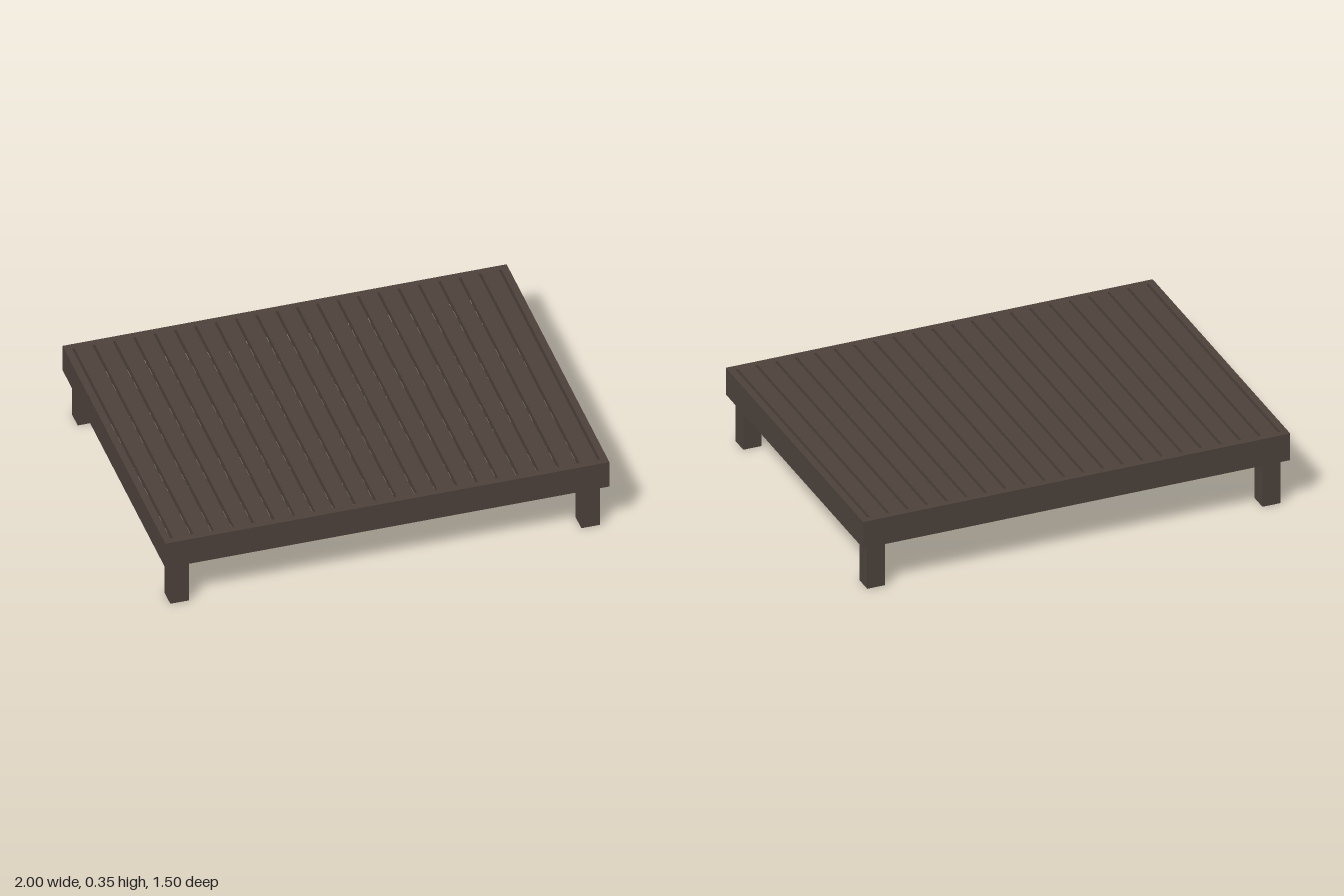
import * as THREE from 'three';

export function createModel() {
  const model = new THREE.Group();
  model.name = 'slattedPlatform';
  const wood = new THREE.MeshStandardMaterial({ color: 0x4d423b });

  // Main dimensions
  const halfX = 0.997, halfZ = 0.747, top = 0.35, rimBottom = 0.22;
  const board = 0.032, slatThickness = 0.03;
  const innerX = halfX - board, innerZ = halfZ - board;
  const slatBottom = top - slatThickness;

  // Box given by its lower and upper corners
  function box(name, x0, x1, y0, y1, z0, z1) {
    const mesh = new THREE.Mesh(new THREE.BoxGeometry(x1 - x0, y1 - y0, z1 - z0), wood);
    mesh.position.set((x0 + x1) / 2, (y0 + y1) / 2, (z0 + z1) / 2);
    mesh.name = name;
    model.add(mesh);
  }

  // Rim boards around the deck
  box('frontRim', -halfX, halfX, rimBottom, top, innerZ, halfZ);
  box('backRim', -halfX, halfX, rimBottom, top, -halfZ, -innerZ);
  box('leftRim', innerX, halfX, rimBottom, top, -innerZ, innerZ);
  box('rightRim', -halfX, -innerX, rimBottom, top, -innerZ, innerZ);

  // Deck slats with narrow gaps, including one beside each end rim
  const slats = 21, gap = 0.0125;
  const width = (2 * innerX - gap * (slats + 1)) / slats;
  for (let i = 0; i < slats; i++) {
    const x = -innerX + gap + i * (width + gap);
    box('slat', x, x + width, slatBottom, top, -innerZ, innerZ);
  }

  // Joists under the slats
  for (const z of [-0.366, 0, 0.366]) {
    box('joist', -innerX, innerX, rimBottom, slatBottom, z - board / 2, z + board / 2);
  }

  // Square legs in the inner corners
  const leg = 0.084;
  for (const sx of [-1, 1]) {
    for (const sz of [-1, 1]) {
      const cx = sx * (innerX - leg / 2), cz = sz * (innerZ - leg / 2);
      box('leg', cx - leg / 2, cx + leg / 2, 0, slatBottom, cz - leg / 2, cz + leg / 2);
    }
  }

  // The platform stands very slightly turned
  model.rotation.y = 0.004;
  return model;
}
